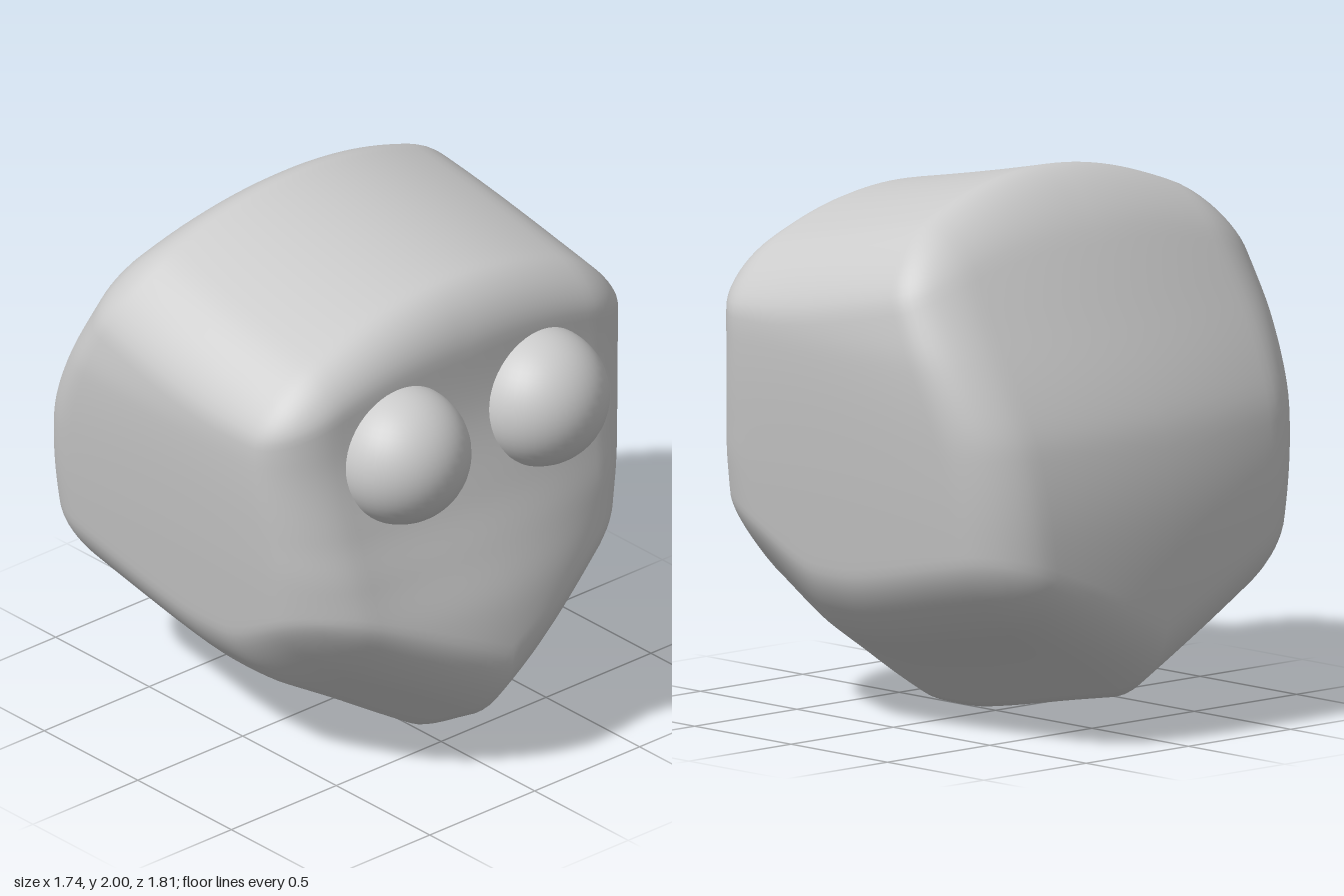
import * as THREE from 'three';
import { mergeVertices } from 'three/addons/utils/BufferGeometryUtils.js';

// Smooth curve through [position, value] pairs
function curve(pts) {
  const slope = (i) => {
    const a = pts[Math.max(i - 1, 0)], b = pts[Math.min(i + 1, pts.length - 1)];
    return (b[1] - a[1]) / (b[0] - a[0]);
  };
  return (t) => {
    t = THREE.MathUtils.clamp(t, pts[0][0], pts[pts.length - 1][0]);
    let i = 0;
    while (i < pts.length - 2 && t > pts[i + 1][0]) i++;
    const [x0, y0] = pts[i], [x1, y1] = pts[i + 1];
    const h = x1 - x0, s = (t - x0) / h, s2 = s * s, s3 = s2 * s;
    return (2 * s3 - 3 * s2 + 1) * y0 + (s3 - 2 * s2 + s) * h * slope(i)
      + (3 * s2 - 2 * s3) * y1 + (s3 - s2) * h * slope(i + 1);
  };
}

// Head profiles: keel along the depth, the others along the height
const keel = curve([[-1, 0.17], [-0.5, 0.09], [0, 0.01], [0.2, 0], [0.4, 0.02], [0.7, 0.16], [1, 0.31]]);
const halfWidth = curve([[0.2, 0.67], [0.5, 0.725], [1, 0.815], [1.4, 0.867], [1.6, 0.86], [2, 0.82]]);
const face = curve([[0.2, 0.9], [0.45, 0.89], [0.7, 0.86], [0.9, 0.8], [1.1, 0.735], [1.4, 0.665], [1.8, 0.645], [2, 0.63]]);
const faceBulge = curve([[0.2, 0.24], [0.6, 0.22], [1, 0.1], [1.4, 0.05], [2, 0.04]]);
const back = curve([[0.1, -0.84], [0.4, -0.89], [0.8, -0.908], [1.1, -0.87], [1.28, -0.8], [1.55, -0.65], [1.82, -0.49], [2.05, -0.34]]);

// A rounded cube shaped by the profiles, with a V-shaped underside
function headGeometry() {
  const r = 0.27, inner = 1 - r;
  let geo = new THREE.BoxGeometry(2, 2, 2, 40, 40, 40);
  geo.deleteAttribute('uv');
  geo.deleteAttribute('normal');
  geo = mergeVertices(geo);
  const pos = geo.attributes.position;
  const p = new THREE.Vector3(), core = new THREE.Vector3();
  for (let i = 0; i < pos.count; i++) {
    p.fromBufferAttribute(pos, i);
    core.copy(p).clampScalar(-inner, inner);
    p.sub(core).setLength(r).add(core);
    const { x: u, y: v, z: w } = p;
    const top = 1.93 - 0.1 * w - 0.24 * u * u;
    const bottom = keel(w) + 0.41 * Math.abs(u);
    const y = THREE.MathUtils.lerp(bottom, top, (v + 1) / 2);
    const x = u * halfWidth(y) * (1 - 0.035 * w * w);
    const zFront = face(y) - faceBulge(y) * u * u;
    const zBack = back(y) + 0.09 * u * u;
    pos.setXYZ(i, x, y, THREE.MathUtils.lerp(zBack, zFront, (w + 1) / 2));
  }
  geo.computeVertexNormals();
  return geo;
}

export function createModel() {
  const group = new THREE.Group();
  const material = new THREE.MeshStandardMaterial({ color: 0xcccccc });

  const head = new THREE.Mesh(headGeometry(), material);
  head.name = 'head';
  group.add(head);

  // Round eyes half sunk into the face
  const eyeGeometry = new THREE.SphereGeometry(0.255, 40, 28);
  for (const side of [1, -1]) {
    const eye = new THREE.Mesh(eyeGeometry, material);
    eye.name = side > 0 ? 'leftEye' : 'rightEye';
    eye.position.set(side * 0.33, 1.34, 0.65);
    group.add(eye);
  }
  return group;
}
